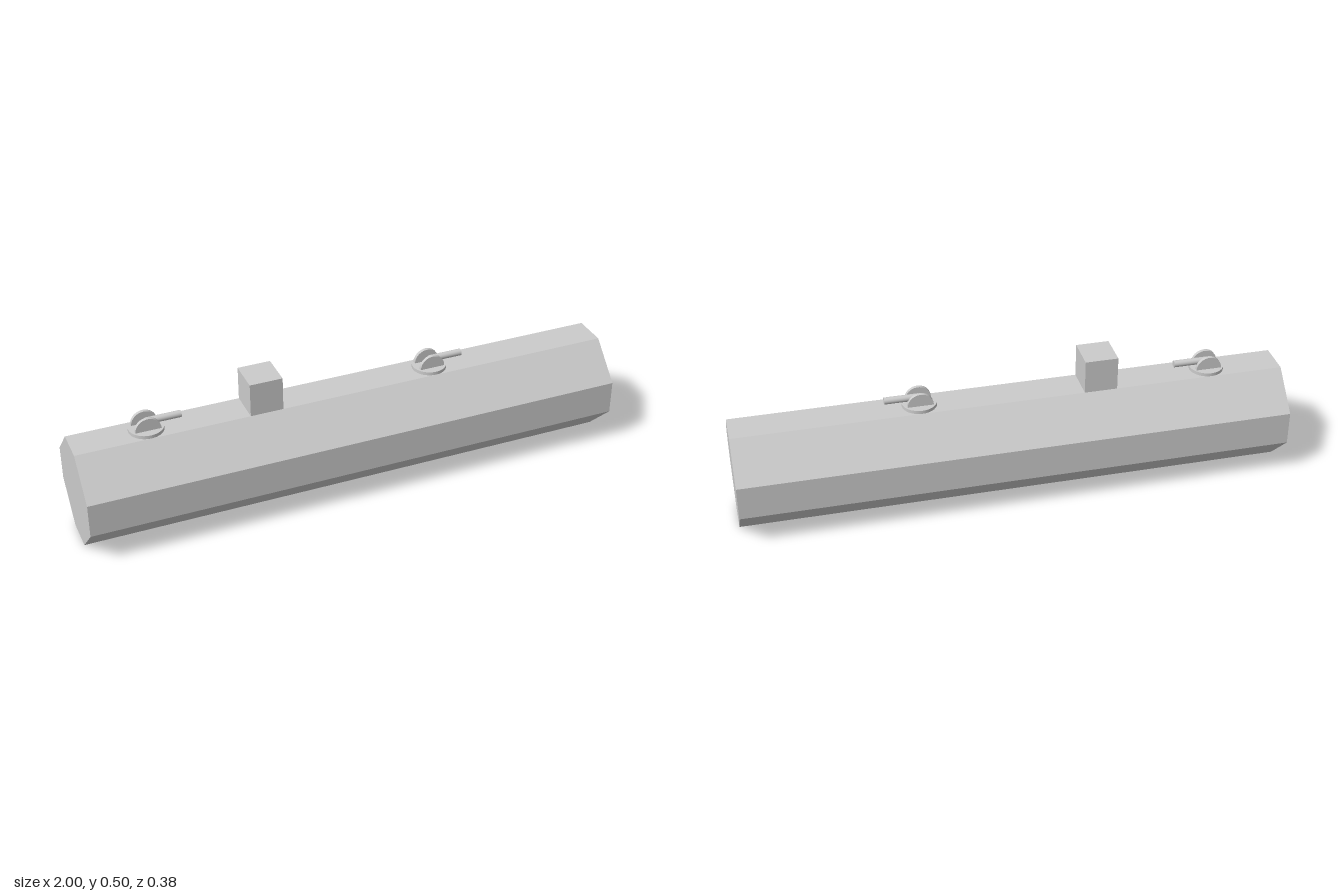
import * as THREE from 'three';

const grey = new THREE.MeshStandardMaterial({ color: 0xcccccc });
const flat = new THREE.MeshStandardMaterial({ color: 0xcccccc, flatShading: true });

function part(name, geometry, x, y, z, material = grey) {
  const mesh = new THREE.Mesh(geometry, material);
  mesh.name = name;
  mesh.position.set(x, y, z);
  return mesh;
}

// Eight-sided hull, extruded along x
function makeHull() {
  const w = 0.1875, f = 0.0625;
  const corners = [[-f, 0], [f, 0], [w, 0.125], [w, 0.25], [f, 0.375], [-f, 0.375], [-w, 0.25], [-w, 0.125]];
  const shape = new THREE.Shape(corners.map(([x, y]) => new THREE.Vector2(x, y)));
  const geometry = new THREE.ExtrudeGeometry(shape, { depth: 2, bevelEnabled: false });
  geometry.translate(0, 0, -1).rotateY(Math.PI / 2);
  return part('hull', geometry, 0, 0, 0, flat);
}

// Turret: round base, two half-disc cheeks and a barrel pointing to +x
function makeTurret() {
  const turret = new THREE.Group();
  turret.name = 'turret';
  turret.add(part('turretBase', new THREE.CylinderGeometry(0.0625, 0.0625, 0.0125, 32), 0, 0.00625, 0));

  const cheek = new THREE.CylinderGeometry(0.0465, 0.0465, 0.0125, 24, 1, false, Math.PI / 2, Math.PI);
  cheek.rotateX(Math.PI / 2);
  for (const side of [-1, 1]) {
    turret.add(part('turretCheek', cheek, 0, 0.0125, side * 0.0255));
  }

  const barrel = new THREE.CylinderGeometry(0.0125, 0.0125, 0.125, 20);
  barrel.rotateZ(-Math.PI / 2);
  turret.add(part('barrel', barrel, 0.0625, 0.0325, 0));
  return turret;
}

export function createModel() {
  const model = new THREE.Group();
  model.name = 'ship';
  model.add(makeHull());
  model.add(part('bridge', new THREE.BoxGeometry(0.12, 0.125, 0.125), -0.317, 0.4375, 0));

  // Turrets on the top deck
  for (const x of [-0.733, 0.33]) {
    const turret = makeTurret();
    turret.position.set(x, 0.375, 0);
    model.add(turret);
  }
  return model;
}
